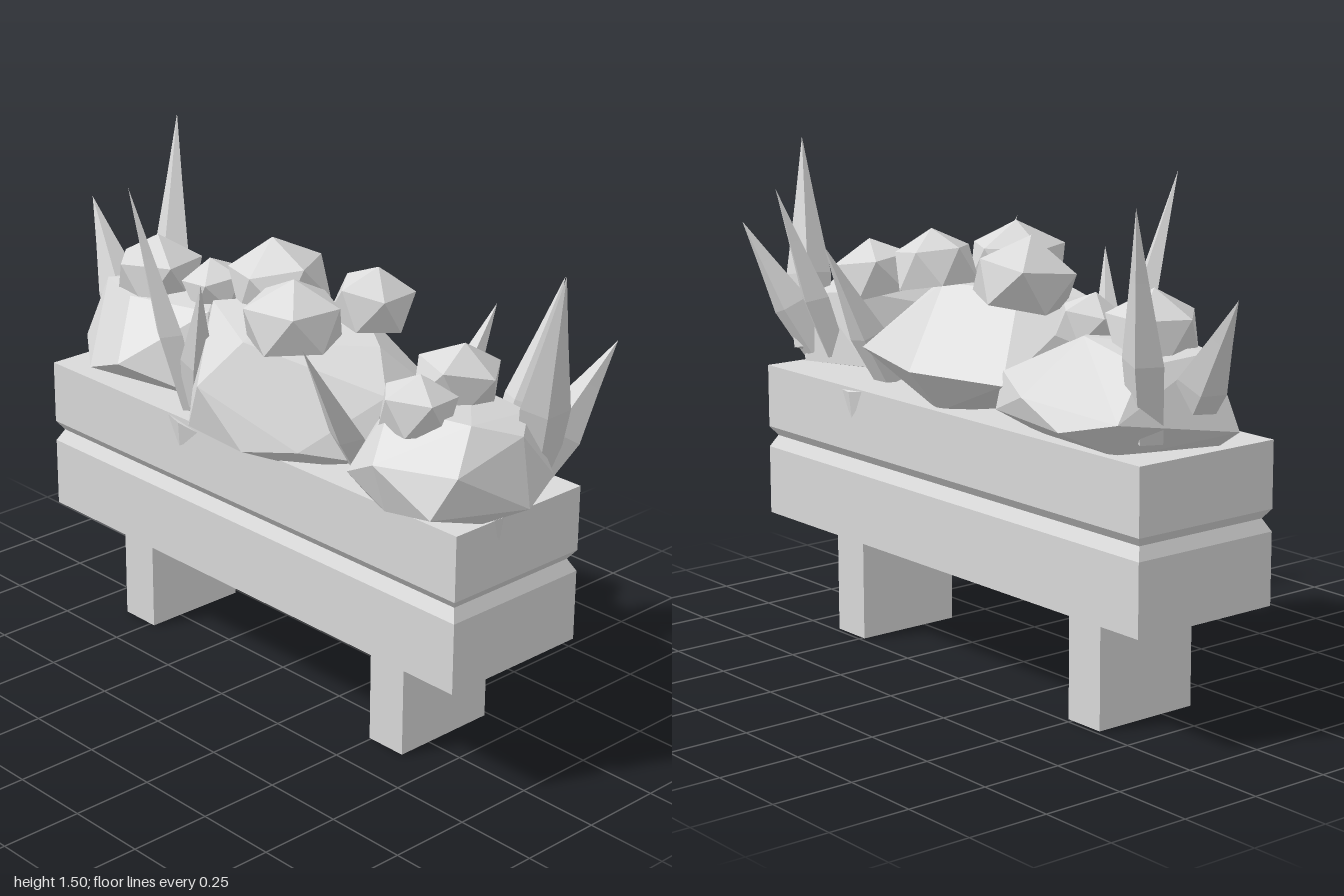
import * as THREE from 'three';
import { ConvexGeometry } from 'three/addons/geometries/ConvexGeometry.js';

const V = (p) => new THREE.Vector3(...p);

export function createModel() {
  const model = new THREE.Group();
  const grey = new THREE.MeshStandardMaterial({ color: 0xdadada, flatShading: true });
  grey.name = 'stone grey';

  const add = (name, geometry, position = [0, 0, 0]) => {
    const mesh = new THREE.Mesh(geometry, grey);
    mesh.name = name;
    mesh.position.set(...position);
    model.add(mesh);
    return mesh;
  };

  // Trough: rectangular rings [inset, y] from the underside, past the groove, up to the flat soil
  const rings = [[0, 0.335], [0, 0.55], [0.02, 0.587], [0, 0.615], [0, 0.812]];
  const corners = [[-1, 1], [1, 1], [1, -1], [-1, -1]];
  const pos = [], idx = [];
  for (const [inset, y] of rings)
    for (const [sx, sz] of corners) pos.push(0.027 + sx * (0.871 - inset), y, -0.052 + sz * (0.248 - inset));
  for (let i = 0; i < rings.length - 1; i++)
    for (let j = 0; j < 4; j++) {
      const a = i * 4 + j, b = i * 4 + (j + 1) % 4;
      idx.push(a, b, b + 4, a, b + 4, a + 4);
    }
  const top = (rings.length - 1) * 4;
  idx.push(0, 2, 1, 0, 3, 2, top, top + 1, top + 2, top, top + 2, top + 3);
  const trough = new THREE.BufferGeometry();
  trough.setAttribute('position', new THREE.Float32BufferAttribute(pos, 3));
  trough.setIndex(idx);
  const troughFlat = trough.toNonIndexed();
  troughFlat.computeVertexNormals();
  add('planterTrough', troughFlat);

  // Legs
  for (const x of [-0.55, 0.56]) add('leg', new THREE.BoxGeometry(0.133, 0.335, 0.345), [x, 0.1675, -0.062]);

  // Bushes: faceted hulls
  const bush = (name, points) => add(name, new ConvexGeometry(points.map(V)));
  bush('rightBush', [
    [-0.87, 0.86, 0.04], [-0.68, 0.84, 0.18], [-0.52, 0.9, 0.2], [-0.8, 0.81, 0.03], [-0.28, 0.82, 0.06],
    [-0.78, 1.07, 0.02], [-0.6, 1.07, 0.08], [-0.33, 1.07, 0], [-0.2, 0.96, -0.24], [-0.8, 0.92, -0.34],
    [-0.6, 0.87, -0.375], [-0.4, 0.93, -0.34], [-0.19, 0.85, -0.26], [-0.74, 1.05, -0.2], [-0.5, 1.1, -0.2],
    [-0.7, 0.8, -0.25], [-0.35, 0.8, -0.22]]);
  bush('middleBush', [
    [-0.22, 0.9, 0.16], [-0.1, 0.85, 0.28], [-0.03, 1.0, 0.305], [0.13, 0.84, 0.28], [0.28, 0.86, 0.2],
    [0.23, 0.79, 0.15], [-0.15, 0.81, 0.1], [0.42, 0.84, 0.08], [0.43, 1.02, 0], [0.05, 1.13, 0.2],
    [-0.25, 1.14, 0.05], [0.32, 1.12, -0.08], [0.46, 0.93, -0.25], [0.27, 0.9, -0.28], [0.07, 0.93, -0.37],
    [-0.22, 0.92, -0.26], [-0.1, 1.16, -0.1], [0.15, 1.16, -0.18], [0.07, 0.8, -0.26], [0.48, 0.84, -0.1],
    [-0.3, 0.85, -0.03]]);
  bush('leftBush', [
    [0.48, 0.86, 0.18], [0.53, 0.9, 0.25], [0.68, 0.98, 0.3], [0.87, 0.87, 0.27], [0.9, 0.98, 0.2],
    [0.98, 0.86, 0], [0.93, 1.05, -0.02], [0.9, 0.82, 0.1], [0.93, 0.9, -0.15], [0.48, 0.81, 0],
    [0.55, 0.81, 0.18], [0.51, 1.0, 0.12], [0.62, 1.1, 0.18], [0.85, 1.09, 0.1], [0.6, 1.07, -0.16],
    [0.8, 1.04, -0.18], [0.52, 0.85, -0.19], [0.85, 0.82, -0.19], [0.68, 0.83, 0.25]]);

  // Blossoms: irregular domes with a hollow underside [x, y, z, radius, height scale, turn]
  const blossoms = [
    [-0.62, 1.1, -0.05, 0.145, 0.92, 0.2], [-0.41, 1.1, -0.1, 0.105, 0.9, 0.9],
    [-0.13, 1.19, -0.11, 0.165, 0.8, 0.5], [0.15, 1.19, 0.09, 0.16, 0.8, 1.1],
    [0.2, 1.2, -0.17, 0.13, 0.92, 0.1], [0.63, 1.11, -0.07, 0.14, 0.88, 0.7],
    [0.68, 1.09, 0.13, 0.12, 0.9, 1.4]];
  blossoms.forEach(([x, y, z, r, tall, turn], n) => {
    const g = new THREE.IcosahedronGeometry(r, 0);
    g.rotateZ(0.5536);
    const p = g.attributes.position;
    for (let i = 0; i < p.count; i++) {
      const k = 1 + 0.07 * Math.sin(p.getX(i) * 50 + p.getZ(i) * 35 + n);
      const py = p.getY(i) < -0.8 * r ? 0 : p.getY(i);
      p.setXYZ(i, p.getX(i) * k, py * k * tall, p.getZ(i) * k);
    }
    g.rotateZ(0.2 * Math.sin(n)).rotateY(turn);
    g.computeVertexNormals();
    add('blossom', g, [x, y, z]);
  });

  // Spiky leaves: four-sided blades from base to tip, broad in the lower half
  const leaf = (name, base, tip, width, turn) => {
    const a = V(base), dir = V(tip).sub(a), h = dir.length();
    const profile = [[0, 0], [0.8, 0.02], [1, 0.36], [0.45, 0.7], [0, 1]];
    const g = new THREE.LatheGeometry(profile.map(([r, t]) => new THREE.Vector2(r * width / 2, t * h)), 4);
    g.scale(1, 1, 0.65).rotateY(turn);
    add(name, g, base).quaternion.setFromUnitVectors(new THREE.Vector3(0, 1, 0), dir.normalize());
  };
  const leaves = [
    [[-0.76, 0.84, -0.2], [-0.87, 1.505, -0.345], 0.13, 0.3],
    [[-0.75, 0.85, -0.06], [-1, 1.255, -0.1], 0.14, 0.8],
    [[-0.27, 0.8, 0.12], [-0.37, 1.505, 0.265], 0.12, 0],
    [[-0.25, 0.82, 0.12], [-0.12, 1.26, 0.21], 0.11, 0.5],
    [[0.45, 0.8, 0.08], [0.48, 1.27, 0.37], 0.12, 0.2],
    [[0.46, 0.8, -0.14], [0.52, 1.24, -0.345], 0.12, 0.6],
    [[0.72, 0.85, -0.16], [0.77, 1.385, -0.345], 0.13, 0.1],
    [[0.84, 0.85, -0.17], [1, 1.505, -0.085], 0.14, 0.9],
    [[0.82, 0.85, -0.16], [0.98, 1.26, -0.33], 0.14, 0.4]];
  for (const l of leaves) leaf('spikyLeaf', ...l);

  // Leaf roots poking through the trough walls
  const roots = [
    [[-0.32, 0.81, 0.19], [-0.13, 0.78, 0.19], [-0.24, 0.72, 0.197], [-0.23, 0.8, 0.21]],
    [[0.38, 0.81, -0.295], [0.52, 0.8, -0.295], [0.45, 0.72, -0.302], [0.45, 0.8, -0.312]],
    [[0.89, 0.81, 0.06], [0.89, 0.81, 0], [0.9, 0.75, 0.03], [0.91, 0.82, 0.03]]];
  for (const r of roots) bush('root', r);

  return model;
}
